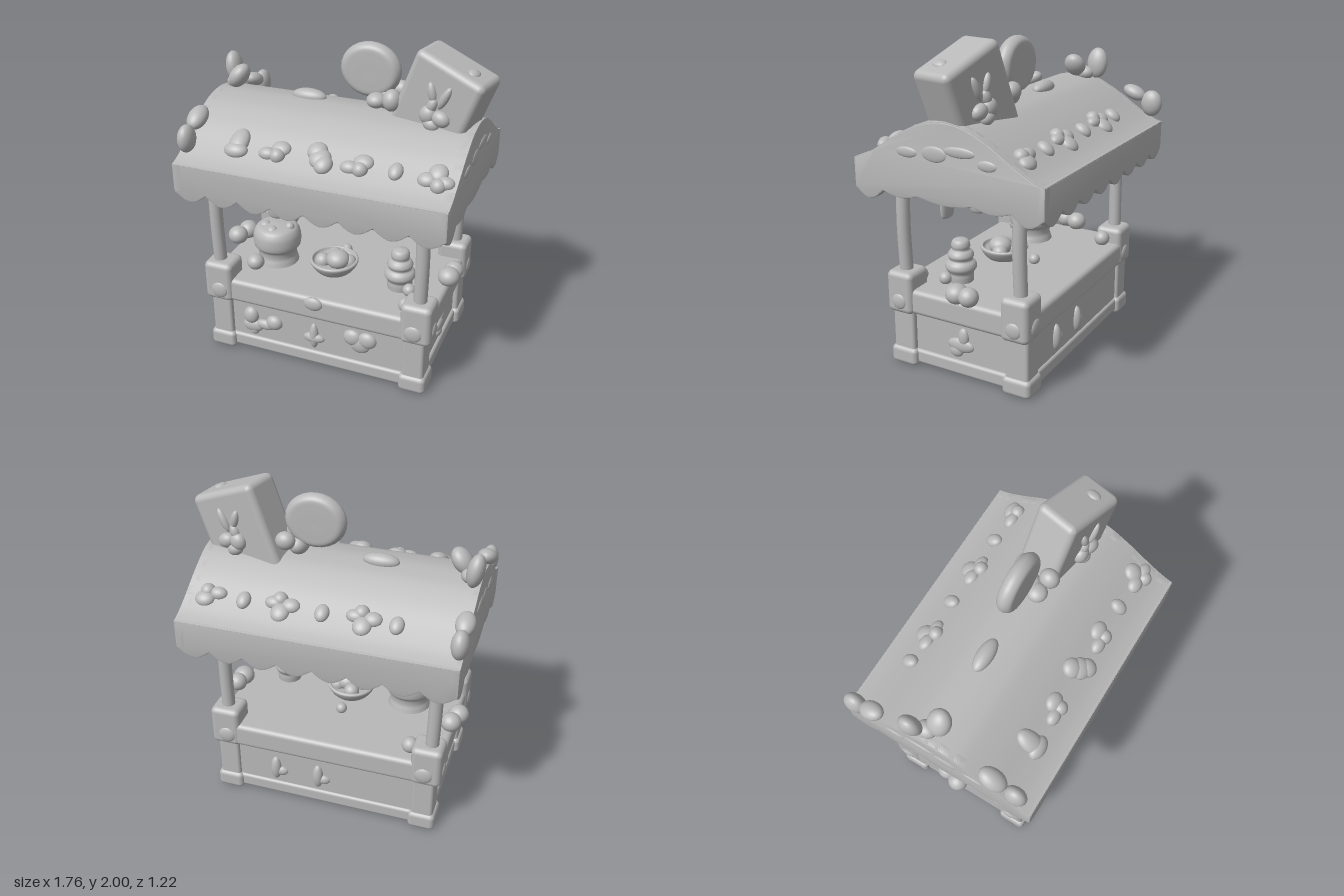
import * as THREE from 'three';
import { toCreasedNormals } from 'three/addons/utils/BufferGeometryUtils.js';
import { RoundedBoxGeometry } from 'three/addons/geometries/RoundedBoxGeometry.js';

const clay = new THREE.MeshStandardMaterial({ color: 0xb8b8b8 });
clay.name = 'clay grey';

function add(parent, name, geometry, x = 0, y = 0, z = 0) {
  const m = new THREE.Mesh(geometry, clay);
  m.name = name;
  m.position.set(x, y, z);
  parent.add(m);
  return m;
}
function group(parent, name, x = 0, y = 0, z = 0) {
  const g = new THREE.Group();
  g.name = name;
  g.position.set(x, y, z);
  parent.add(g);
  return g;
}
// box given by its limits on each axis
function box(parent, name, [x0, x1], [y0, y1], [z0, z1], r = 0.02) {
  const g = new RoundedBoxGeometry(x1 - x0, y1 - y0, z1 - z0, 3, r);
  return add(parent, name, g, (x0 + x1) / 2, (y0 + y1) / 2, (z0 + z1) / 2);
}
const ball = new THREE.SphereGeometry(1, 24, 16);
// ellipsoids: [x, y, z, rx, ry, rz, roll, pitch]
function blobs(parent, name, list) {
  for (const [x, y, z, rx, ry = rx, rz = rx, roll = 0, pitch = 0] of list) {
    const m = add(parent, name, ball, x, y, z);
    m.scale.set(rx, ry, rz);
    m.rotation.set(pitch, 0, roll);
  }
}
function lathe(parent, name, pts, x, y, z) {
  const p = new THREE.SplineCurve(pts.map(([r, h]) => new THREE.Vector2(r, h))).getPoints(40);
  p.forEach(v => { v.x = Math.max(v.x, 0); });
  return add(parent, name, new THREE.LatheGeometry(p, 28), x, y, z);
}

// roof outline, half of it from the ridge to the eave
const half = [[0, 1.592], [0.09, 1.582], [0.17, 1.56], [0.3, 1.492], [0.43, 1.408], [0.53, 1.35], [0.61, 1.318]];
const roofTop = new THREE.SplineCurve([
  ...half.slice(1).reverse().map(([z, y]) => new THREE.Vector2(-z, y)),
  ...half.map(([z, y]) => new THREE.Vector2(z, y)),
]).getPoints(48);

// scalloped lower edge through the given cusps; the first and last scallop hang by endDrop
function scallops(cusps, yCusp, drop, endDrop) {
  const pts = [];
  for (let i = 0; i < cusps.length - 1; i++) {
    const end = i === 0 || i === cusps.length - 2;
    for (let k = i ? 1 : 0; k <= 10; k++) {
      const x = cusps[i] + (cusps[i + 1] - cusps[i]) * k / 10;
      pts.push(new THREE.Vector2(x, yCusp - (end ? endDrop : drop) * Math.sin(k / 10 * Math.PI)));
    }
  }
  return pts;
}
function extrude(pts, depth, bevel = 0) {
  const g = new THREE.ExtrudeGeometry(new THREE.Shape(pts), {
    depth: depth - 2 * bevel, bevelEnabled: bevel > 0, bevelSize: bevel, bevelThickness: bevel,
    bevelOffset: -bevel, bevelSegments: 2,
  });
  g.translate(0, 0, bevel - depth / 2);
  return toCreasedNormals(g, 0.6);
}

function buildCounter(root) {
  const c = group(root, 'counter');
  box(c, 'counterBody', [-0.69, 0.65], [0.03, 0.45], [-0.425, 0.455]);
  box(c, 'baseTrim', [-0.71, 0.67], [0.02, 0.11], [-0.44, 0.475]);
  box(c, 'counterTop', [-0.75, 0.7], [0.355, 0.512], [-0.455, 0.485], 0.03);
  for (const [x, sx] of [[-0.655, -1], [0.615, 1]]) {
    for (const [z, sz] of [[0.41, 1], [-0.37, -1]]) {
      box(c, 'foot', [x - 0.085, x + 0.085], [0, 0.115], [z - 0.092, z + 0.092], 0.03);
      box(c, 'cornerPillar', [x - 0.068, x + 0.068], [0.08, 0.4], [z - 0.075, z + 0.075]);
      const bx = x + sx * 0.01;
      box(c, 'cornerBlock', [bx - 0.095, bx + 0.095], [0.35, 0.615], [z - 0.09, z + 0.09], 0.035);
      blobs(c, 'cornerStud', [[x, 0.43, z + sz * 0.085, 0.055, 0.055, 0.02], [bx + sx * 0.09, 0.43, z, 0.018, 0.05, 0.05]]);
      // slightly bowed posts
      const px = x + (sx < 0 ? -0.025 : 0.012);
      const path = new THREE.CatmullRomCurve3([
        new THREE.Vector3(px, 0.58, z), new THREE.Vector3(px + 0.006 * sx, 0.9, z + 0.006),
        new THREE.Vector3(px - 0.003, 1.2, z + 0.004), new THREE.Vector3(px, 1.35, z)]);
      add(c, 'post', new THREE.TubeGeometry(path, 16, 0.041, 16));
    }
  }
  blobs(c, 'frontClasp', [[-0.02, 0.475, 0.485, 0.06, 0.045, 0.025]]);
  // relief decorations on the panels
  blobs(c, 'frontRelief', [
    [-0.46, 0.265, 0.455, 0.05, 0.06, 0.04], [-0.45, 0.19, 0.455, 0.07, 0.045, 0.03], [-0.44, 0.16, 0.455, 0.03, 0.035, 0.025],
    [-0.36, 0.215, 0.455, 0.07, 0.035, 0.03], [-0.3, 0.245, 0.455, 0.055, 0.05, 0.04],
    [-0.03, 0.22, 0.455, 0.03, 0.09, 0.03], [-0.03, 0.205, 0.455, 0.07, 0.035, 0.03],
    [0.225, 0.275, 0.455, 0.06, 0.055, 0.035], [0.32, 0.275, 0.455, 0.06, 0.055, 0.035], [0.275, 0.235, 0.455, 0.065, 0.06, 0.03]]);
  for (const x of [0.02, 0.3]) {
    blobs(c, 'backRelief', [[x, 0.22, -0.425, 0.035, 0.085, 0.035], [x - 0.03, 0.2, -0.42, 0.05, 0.035, 0.03]]);
  }
  for (const x of [-0.69, 0.65]) {
    blobs(c, 'sideRelief', [[x, 0.21, 0.02, 0.025, 0.045, 0.09], [x, 0.265, 0, 0.025, 0.06, 0.035], [x, 0.17, 0.05, 0.025, 0.04, 0.045]]);
  }
}

function buildGoods(root) {
  const g = group(root, 'goods');
  // domed tub
  lathe(g, 'domedTub', [[0.138, 0], [0.13, 0.03], [0.122, 0.06], [0.128, 0.1], [0.148, 0.125], [0.153, 0.17],
    [0.145, 0.22], [0.11, 0.256], [0, 0.268]], -0.42, 0.505, 0.13);
  blobs(g, 'tubTopping', [[-0.49, 0.755, 0.15, 0.035, 0.025], [-0.33, 0.76, 0.13, 0.03], [-0.42, 0.755, 0.2, 0.035, 0.025]]);
  blobs(g, 'looseSweet', [[-0.5, 0.555, 0.29, 0.055, 0.05], [-0.03, 0.535, -0.1, 0.035], [0.5, 0.54, 0.22, 0.04]]);
  // bowl of sweets
  lathe(g, 'bowl', [[0.1, 0], [0.13, 0.03], [0.155, 0.075], [0.14, 0.088], [0.115, 0.06], [0, 0.045]], -0.03, 0.505, 0.12);
  blobs(g, 'bowlSweets', [[0, 0.595, 0.13, 0.075, 0.06], [-0.1, 0.57, 0.14, 0.05], [0.06, 0.57, 0.1, 0.05], [-0.05, 0.57, 0.05, 0.05]]);
  // tiered tree
  lathe(g, 'tieredTree', [[0.075, 0], [0.078, 0.04], [0.078, 0.065], [0.096, 0.095], [0.09, 0.125], [0.07, 0.145], [0.08, 0.17],
    [0.07, 0.195], [0.053, 0.21], [0.058, 0.235], [0.045, 0.268], [0, 0.28]], 0.42, 0.505, 0.16);
  // rounded sweets on the rim and corners
  blobs(g, 'rimSweets', [
    [0.69, 0.56, 0.015, 0.068, 0.06], [0.7, 0.56, -0.07, 0.06, 0.058],
    [-0.76, 0.56, 0.035, 0.065, 0.06], [-0.73, 0.56, -0.06, 0.065, 0.06],
    [0.53, 0.545, 0.38, 0.045], [-0.54, 0.55, -0.34, 0.05]]);
}

function buildRoof(root) {
  const r = group(root, 'roof', -0.015, 0, 0);
  const inner = roofTop.map(p => new THREE.Vector2(p.x * 0.91, p.y - 0.1)).reverse();
  add(r, 'roofShell', extrude([...roofTop, ...inner].reverse(), 1.65)).rotation.y = Math.PI / 2;
  // scalloped skirts, long sides and gable ends
  const skirtCusps = Array.from({ length: 9 }, (_, i) => -0.825 + 1.65 * i / 8);
  const skirt = [new THREE.Vector2(-0.825, 1.325), ...scallops(skirtCusps, 1.145, 0.055, 0.055), new THREE.Vector2(0.825, 1.325)];
  for (const s of [-1, 1]) add(r, 'skirt', extrude(skirt, 0.06, 0.008), 0, 0, s * 0.58);
  const gable = [...scallops([-0.61, -0.415, -0.18, 0.18, 0.415, 0.61], 1.15, 0.025, 0.06), ...roofTop.slice().reverse()];
  for (const s of [-1, 1]) {
    add(r, 'gable', extrude(gable, 0.06, 0.008), s * 0.797).rotation.y = Math.PI / 2;
    blobs(r, 'gableRelief', [[s * 0.825, 1.4, 0.24, 0.012, 0.03, 0.07], [s * 0.825, 1.41, 0.06, 0.012, 0.045, 0.08],
      [s * 0.825, 1.44, -0.1, 0.012, 0.03, 0.1], [s * 0.825, 1.39, -0.27, 0.012, 0.03, 0.06]]);
  }
}

// sweets set on the slopes; local y is the slope normal, local z runs down it
function buildRoofSweets(root) {
  const shapes = {
    drop: [[0, 0.005, -0.02, 0.06, 0.04, 0.095], [0, 0.005, 0.035, 0.074, 0.04, 0.05]],
    bow: [[-0.045, 0, 0.02, 0.055, 0.035, 0.04], [0.025, 0, -0.025, 0.06, 0.035, 0.05], [0.02, 0, 0.025, 0.045]],
    bean: [[-0.025, 0.005, -0.045, 0.06, 0.04, 0.06], [0.005, 0.005, 0, 0.065, 0.04, 0.065], [0.035, 0.005, 0.035, 0.055, 0.042, 0.06]],
    star: [[-0.05, 0, 0.015, 0.055, 0.035, 0.045], [0.05, 0, 0.02, 0.055, 0.035, 0.04], [0, 0, -0.035, 0.055, 0.035, 0.06], [0.02, 0, 0.045, 0.045]],
    button: [[0, 0.005, 0, 0.042, 0.035, 0.055]],
  };
  const rows = [
    [1, [['drop', -0.5], ['bow', -0.26], ['bean', 0.01], ['bow', 0.24], ['button', 0.46], ['star', 0.69]]],
    [-1, [['button', -0.45], ['star', -0.26], ['button', -0.02], ['star', 0.22], ['button', 0.45], ['bow', 0.66]]],
  ];
  for (const [s, row] of rows) {
    for (const [kind, x] of row) {
      const g = group(root, 'roofSweet', x, 1.415, s * 0.42);
      g.rotation.x = s * 0.56;
      blobs(g, kind, shapes[kind]);
    }
  }
  blobs(root, 'ridgeSweet', [[-0.25, 1.595, -0.04, 0.11, 0.045, 0.05]]);
  // leaf-like pairs along one end
  blobs(root, 'endLeaves', [
    [-0.81, 1.675, -0.15, 0.05, 0.1, 0.07, 0.15], [-0.715, 1.665, -0.03, 0.055, 0.085, 0.07, -0.65],
    [-0.77, 1.61, -0.08, 0.05, 0.045, 0.06],
    [-0.8, 1.52, 0.35, 0.06, 0.05, 0.09, 0, 0.45], [-0.8, 1.44, 0.49, 0.05, 0.085, 0.07],
    [-0.82, 1.5, -0.42, 0.055, 0.045, 0.08, 0, -0.4], [-0.82, 1.44, -0.54, 0.05, 0.085, 0.07]]);
}

function buildTopSign(root) {
  // round sweet
  const disc = lathe(root, 'roundSweet', [[0, -0.05], [0.1, -0.05], [0.16, -0.043], [0.186, 0], [0.16, 0.043], [0.1, 0.05], [0, 0.05]], 0.135, 1.803, -0.062);
  disc.rotation.x = Math.PI / 2;
  disc.scale.z = 0.89;
  blobs(root, 'sweetKnot', [[0.2, 1.65, 0.02, 0.06, 0.045, 0.06], [0.3, 1.67, 0.04, 0.055, 0.065, 0.06],
    [0.24, 1.64, -0.06, 0.06, 0.06, 0.08], [0.3, 1.68, -0.13, 0.06, 0.055, 0.05]]);
  // tilted block
  const b = group(root, 'tiltedBlock', 0.583, 1.678, -0.018);
  b.rotation.set(0, -0.19, -0.37);
  add(b, 'block', new RoundedBoxGeometry(0.445, 0.54, 0.26, 4, 0.04));
  for (const s of [-1, 1]) {
    blobs(b, 'blockRelief', [[-0.04, 0.09, s * 0.13, 0.025, 0.06, 0.025, 0.6], [0.04, 0.1, s * 0.13, 0.025, 0.075, 0.025, -0.1],
      [-0.01, 0.02, s * 0.13, 0.03, 0.05, 0.03], [-0.01, -0.04, s * 0.135, 0.05, 0.055, 0.04],
      [0.07, -0.02, s * 0.135, 0.055, 0.045, 0.04], [0.03, -0.08, s * 0.135, 0.05, 0.04, 0.04]]);
  }
  blobs(b, 'blockTopRelief', [[0.1, 0.265, 0.02, 0.035, 0.02, 0.045]]);
}

function buildLanterns(root) {
  for (const [x, y, sz] of [[-0.38, 0.86, 1], [0.155, 0.86, 1], [0.485, 0.925, 0.4]]) {
    const g = group(root, 'hangingJar', x, y, sz < 1 ? 0.205 : 0.19);
    lathe(g, 'jar', [[0, 0], [0.045, 0.005], [0.06, 0.03], [0.066, 0.1], [0.06, 0.145], [0.028, 0.175],
      [0.02, 0.195], [0.036, 0.21], [0.014, 0.23], [0, 0.25]], 0, 0, 0).scale.z = sz;
    const len = 1.48 - y - 0.23;
    add(g, 'cord', new THREE.CylinderGeometry(0.007, 0.007, len, 8), 0, 0.23 + len / 2, 0);
  }
}

export function createModel() {
  const root = new THREE.Group();
  root.name = 'sweetStall';
  [buildCounter, buildGoods, buildRoof, buildRoofSweets, buildTopSign, buildLanterns].forEach(f => f(root));
  return root;
}
